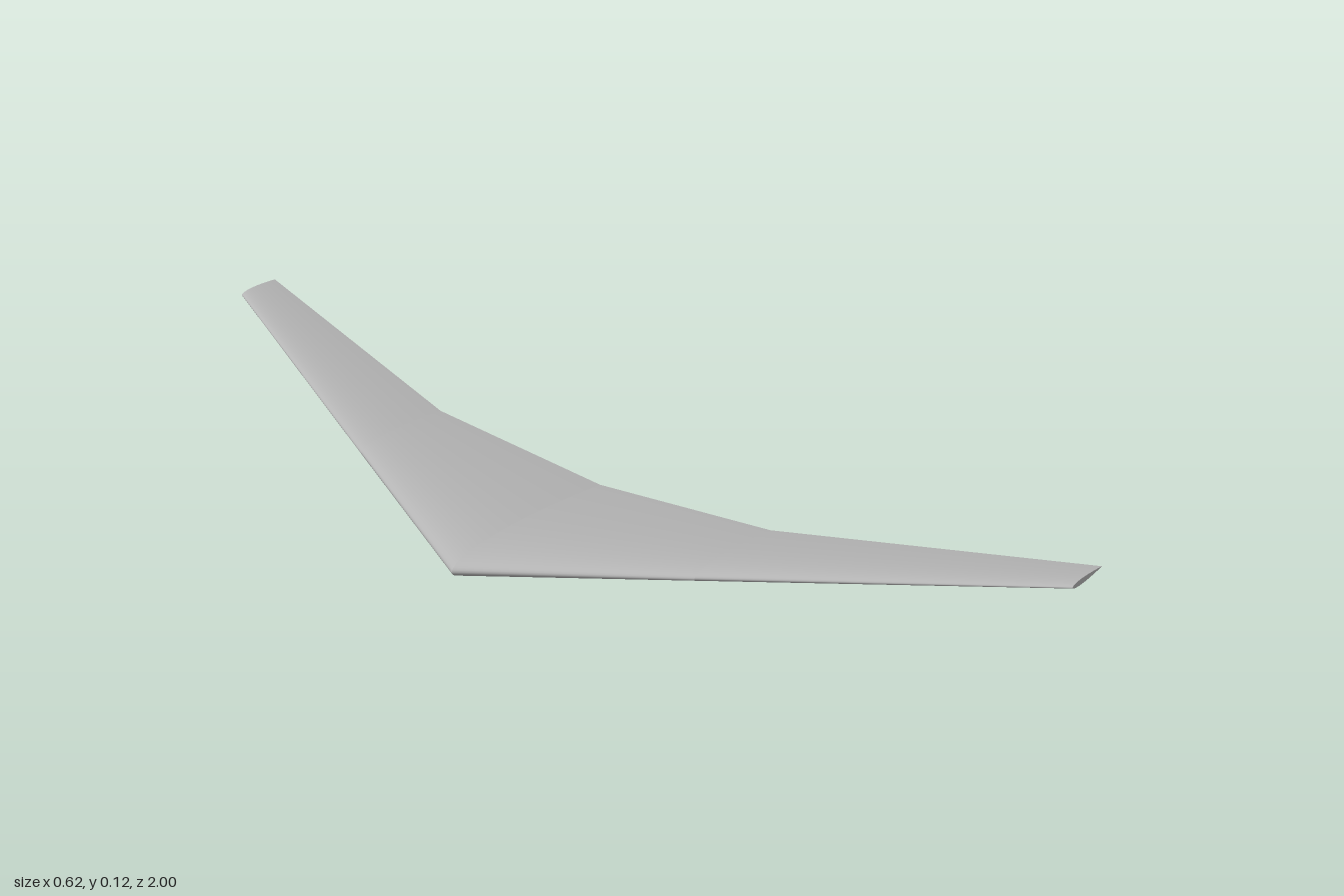
import * as THREE from 'three';

// Wing stations from the centre outwards: span z, leading and trailing edge x, chord line y
const STATIONS = [
  { z: 0, lead: -0.31, trail: 0.133, y: 0.0266 },
  { z: 0.4, lead: -0.104, trail: 0.133, y: 0.0615 },
  { z: 1, lead: 0.205, trail: 0.306, y: 0.117 },
];
const THICKNESS = 0.12;
const HALF = 28; // points along each of the upper and lower surfaces

// Half thickness of a symmetric aerofoil at chord fraction t, closed at the trailing edge
const halfThickness = (t) =>
  5 * THICKNESS * (0.2969 * Math.sqrt(t) - 0.126 * t - 0.3516 * t ** 2 + 0.2843 * t ** 3 - 0.1036 * t ** 4);

// Closed section: trailing edge, over the top to the nose, back along the underside
function section({ lead, trail, y, z }) {
  const chord = trail - lead;
  const points = [];
  for (let i = 0; i <= 2 * HALF; i++) {
    const t = (1 + Math.cos((Math.PI * i) / HALF)) / 2;
    const side = i <= HALF ? 1 : -1;
    points.push(new THREE.Vector3(lead + chord * t, y + side * chord * halfThickness(t), z));
  }
  return points;
}

function build(points, index) {
  const geometry = new THREE.BufferGeometry().setFromPoints(points);
  geometry.setIndex(index);
  geometry.computeVertexNormals();
  return geometry;
}

// Skin between two sections, a at the lower z
function panel(a, b) {
  const n = 2 * HALF + 1;
  const index = [];
  for (let i = 0; i < n - 1; i++) {
    index.push(i, i + 1, n + i + 1, i, n + i + 1, n + i);
  }
  return build([...section(a), ...section(b)], index);
}

// Flat wing tip, joining upper and lower points in strips
function cap(station, side) {
  const index = [];
  const last = 2 * HALF;
  for (let i = 0; i < HALF; i++) {
    const quad = [i, i + 1, last - i, i + 1, last - i - 1, last - i];
    index.push(...(side > 0 ? quad : quad.reverse()));
  }
  return build(section(station), index);
}

export function createModel() {
  const model = new THREE.Group();
  model.name = 'flyingWing';
  const grey = new THREE.MeshStandardMaterial({ color: 0xb4b4b4 });
  grey.name = 'lightGrey';

  const add = (name, geometry) => {
    const mesh = new THREE.Mesh(geometry, grey);
    mesh.name = name;
    model.add(mesh);
  };

  for (const side of [1, -1]) {
    const label = side > 0 ? 'front' : 'rear';
    const [root, middle, tip] = STATIONS.map((s) => ({ ...s, z: s.z * side }));
    const between = (a, b) => (side > 0 ? panel(a, b) : panel(b, a));
    add(label + 'InnerWing', between(root, middle));
    add(label + 'OuterWing', between(middle, tip));
    add(label + 'WingTip', cap(tip, side));
  }
  return model;
}
